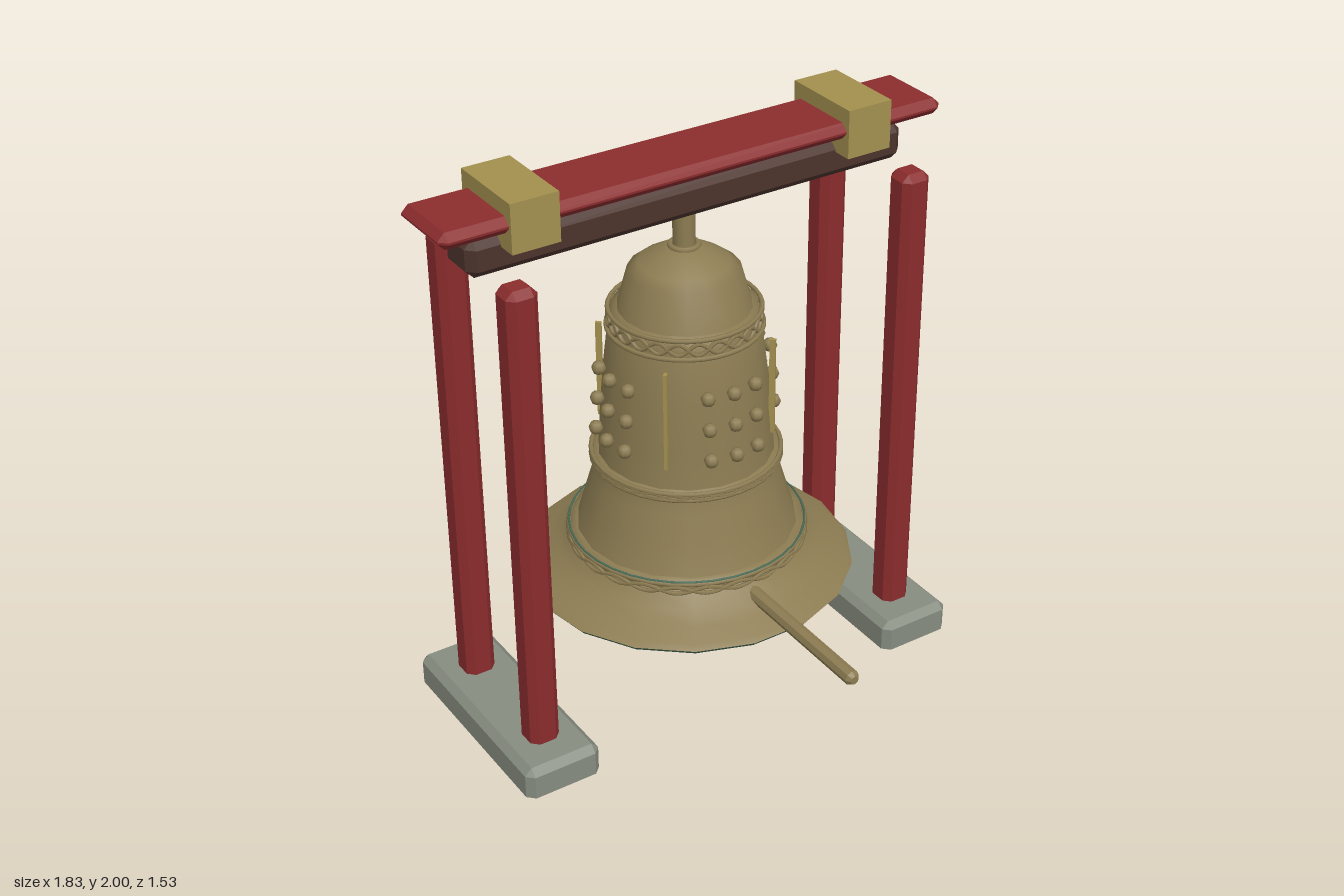
import * as THREE from 'three';
import { ConvexGeometry } from 'three/addons/geometries/ConvexGeometry.js';

const mat = (name, color, side = THREE.FrontSide) =>
  Object.assign(new THREE.MeshStandardMaterial({ color, side }), { name });

// Box with cut corners and edges; openBottom leaves out the bevel and face below
function bevelBox(w, h, d, c, openBottom = false) {
  const pts = [];
  for (const sx of [-1, 1]) for (const sy of [-1, 1]) for (const sz of [-1, 1]) {
    const x = w / 2, y = h / 2, z = d / 2;
    const flat = openBottom && sy < 0;
    const yi = flat ? y : y - c;
    pts.push(new THREE.Vector3(sx * x, sy * yi, sz * (z - c)));
    pts.push(new THREE.Vector3(sx * (x - c), sy * yi, sz * z));
    if (!flat) pts.push(new THREE.Vector3(sx * (x - c), sy * y, sz * (z - c)));
  }
  const geo = new ConvexGeometry(pts);
  if (!openBottom) return geo;
  const p = geo.attributes.position, keep = [];
  for (let i = 0; i < p.count; i += 3) {
    if ([0, 1, 2].every(k => p.getY(i + k) < -h / 2 + 1e-4)) continue;
    for (let k = 0; k < 3; k++) keep.push(p.getX(i + k), p.getY(i + k), p.getZ(i + k));
  }
  const open = new THREE.BufferGeometry();
  open.setAttribute('position', new THREE.Float32BufferAttribute(keep, 3));
  open.computeVertexNormals();
  return open;
}

// Closed wavy cord running round the bell
class WaveRing extends THREE.Curve {
  constructor(r, y, amp, waves, phase) {
    super();
    Object.assign(this, { r, y, amp, waves, phase });
  }
  getPoint(t, out = new THREE.Vector3()) {
    const a = t * Math.PI * 2;
    return out.set(Math.sin(a) * this.r,
      this.y + this.amp * Math.sin(a * this.waves + this.phase), Math.cos(a) * this.r);
  }
}

export function createModel() {
  const red = mat('red lacquer', 0x8b2c2d);
  const brown = mat('dark wood', 0x4b332c);
  const stone = mat('grey stone', 0x868c80, THREE.DoubleSide);
  const bronze = mat('bronze', 0x8c7c52);
  const gold = mat('pale brass', 0xa3904f);
  const patina = mat('green patina', 0x476a58);

  const model = new THREE.Group();
  model.name = 'hangingBell';
  const add = (parent, name, geo, material, x = 0, y = 0, z = 0) => {
    const m = new THREE.Mesh(geo, material);
    m.name = name;
    m.position.set(x, y, z);
    parent.add(m);
    return m;
  };
  const Z = -0.2; // middle of the frame and bell

  // Stand: stone feet, paired posts and brackets on each side
  for (const s of [-1, 1]) {
    add(model, 'foot', bevelBox(0.275, 0.11, 0.775, 0.025, true), stone, s * 0.722, 0.055, Z);
    for (const dz of [-0.222, 0.222])
      add(model, 'post', bevelBox(0.107, 1.755, 0.107, 0.024), red, s * 0.722, 0.9, Z + dz);
    add(model, 'bracket', new THREE.BoxGeometry(0.165, 0.165, 0.3), gold, s * 0.608, 1.9175, Z);
  }
  add(model, 'crossBeam', bevelBox(1.6, 0.127, 0.165, 0.028), brown, 0, 1.807, Z);
  add(model, 'topPlank', bevelBox(1.825, 0.055, 0.277, 0.024), red, 0, 1.921, Z);

  // Bell
  const bell = new THREE.Group();
  bell.name = 'bell';
  bell.position.z = Z;
  model.add(bell);
  const SIDES = 18;
  const lathe = pts => new THREE.LatheGeometry(
    pts.map(p => new THREE.Vector2(p[0], p[1])), SIDES, Math.PI / 2);
  const wall = [
    [0.57, 0.433], [0.55, 0.447], [0.495, 0.472], [0.44, 0.503], [0.4, 0.54], [0.377, 0.58],
    [0.345, 0.69], [0.315, 0.79], [0.297, 0.86], [0.288, 1.0], [0.273, 1.17], [0.253, 1.335],
    [0.222, 1.4], [0.185, 1.535], [0.15, 1.562], [0.1, 1.592], [0.05, 1.615], [0, 1.62],
  ];
  add(bell, 'bellWall', lathe(wall), bronze);
  add(bell, 'rim', lathe([[0.56, 0.42], [0.57, 0.433]]), patina);
  const under = add(bell, 'underside', new THREE.CircleGeometry(0.56, SIDES), patina, 0, 0.42, 0);
  under.rotation.x = Math.PI / 2;
  add(bell, 'neck', new THREE.CylinderGeometry(0.037, 0.037, 0.15, 12), bronze, 0, 1.685, 0);

  // Raised rings
  const ring = (r, y, tube, material = bronze) => {
    const m = add(bell, 'ring', new THREE.TorusGeometry(r, tube, 6, 36), material, 0, y, 0);
    m.rotation.x = Math.PI / 2;
  };
  ring(0.045, 1.618, 0.01);
  ring(0.25, 1.403, 0.008);
  ring(0.256, 1.34, 0.008);
  ring(0.318, 0.875, 0.008);
  ring(0.318, 0.853, 0.008);
  ring(0.402, 0.58, 0.008);
  ring(0.402, 0.588, 0.004, patina);

  // Backing bands and interlaced cords
  add(bell, 'upperBand', lathe([[0.245, 1.34], [0.248, 1.345], [0.243, 1.4], [0.21, 1.406]]), bronze);
  add(bell, 'middleBand', lathe([[0.29, 0.85], [0.316, 0.852], [0.314, 0.876], [0.285, 0.878]]), bronze);
  add(bell, 'lowerBand', lathe([[0.385, 0.548], [0.398, 0.555], [0.4, 0.585], [0.37, 0.588]]), bronze);
  for (const [r, y, amp] of [[0.25, 1.371, 0.02], [0.318, 0.864, 0.006], [0.405, 0.558, 0.012]])
    for (const phase of [0, Math.PI])
      add(bell, 'cord', new THREE.TubeGeometry(
        new WaveRing(r, y, amp, 12, phase), 120, 0.007, 5, true), bronze);

  // Studs on four faces, ribs on the diagonals between them
  const stud = new THREE.SphereGeometry(0.025, 8, 4);
  for (let i = 0; i < 4; i++) {
    const face = new THREE.Group();
    face.name = 'studPanel';
    face.rotation.y = i * Math.PI / 2;
    bell.add(face);
    [[0.99, 0.306], [1.1, 0.298], [1.21, 0.289]].forEach(([y, r]) => {
      for (const x of [-0.09, 0, 0.09])
        add(face, 'stud', stud, bronze, x, y, Math.sqrt(r * r - x * x));
    });
    const turn = new THREE.Group();
    turn.name = 'ribMount';
    turn.rotation.y = Math.PI / 4;
    face.add(turn);
    add(turn, 'rib', new THREE.BoxGeometry(0.012, 0.35, 0.02), gold, 0, 1.13, 0.29);
  }

  // Striking log pointing forward
  const log = add(model, 'striker', new THREE.LatheGeometry([
    [0, -0.32], [0.015, -0.32], [0.026, -0.305], [0.026, 0.305], [0.015, 0.32], [0, 0.32],
  ].map(p => new THREE.Vector2(...p)), 8).toNonIndexed(), bronze, 0, 0.505, 0.45);
  log.geometry.computeVertexNormals();
  log.rotation.x = Math.PI / 2;

  return model;
}
